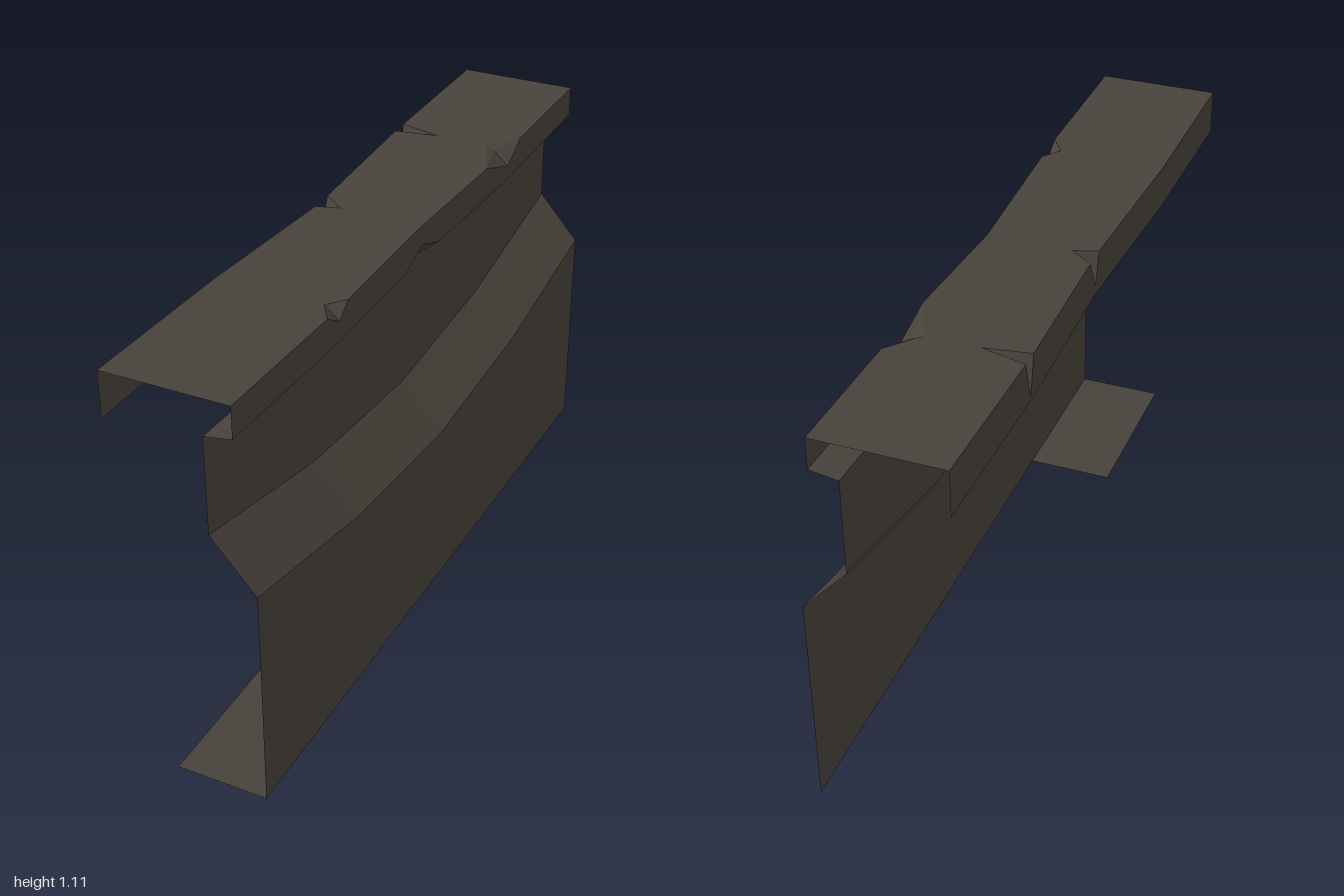
import * as THREE from 'three';

// Piecewise-linear lookup over [z, value] pairs
function lerpTable(table, z) {
  for (let i = 1; i < table.length; i++) {
    const [z0, v0] = table[i - 1], [z1, v1] = table[i];
    if (z <= z1) return v0 + (v1 - v0) * (z - z0) / (z1 - z0);
  }
  return table[table.length - 1][1];
}

// Value that is symmetric front to back, given at the ends, quarters and middle
const sag = (end, quarter, middle) => (z) =>
  lerpTable([[0, middle], [0.5, quarter], [1, end]], Math.abs(z));

const topY = sag(1.11, 1.10, 1.09);
const leftX = sag(-0.193, -0.193, -0.173);
const rightX = sag(0.145, 0.145, 0.125);
const skirtY = sag(0.985, 0.98, 0.973);
const lipOuterY = sag(1.025, 1.01, 1.0);
const lipInnerY = sag(1.013, 0.992, 0.985);
const bendTopY = sag(0.75, 0.65, 0.61);
const bendLowY = sag(0.615, 0.52, 0.48);

// Dents crush a corner between z[0] and z[2]: tip on one panel, mid crease, end on the side panel
const dents = [
  { edge: 'left', z: [-0.55, -0.52, -0.50], tip: -0.07, mid: [-0.13, 1.06], sideY: 0.99 },
  { edge: 'left', z: [-0.05, 0, 0.02], tip: -0.11, mid: [-0.143, 1.045], sideY: 1.0 },
  { edge: 'right', z: [-0.61, -0.52, -0.38], tip: 0.075, mid: [0.102, 1.088], sideY: 1.05 },
  { edge: 'right', z: [0.45, 0.5, 0.56], tip: 0.105, mid: [0.125, 1.083], sideY: 1.065 },
  { edge: 'lip', z: [-0.1, 0, 0.1], tip: 0.092, mid: [0.109, 1.014], sideY: 1.035 },
];
const stations = [...new Set([-1, -0.5, 0, 0.5, 1, ...dents.flatMap((d) => d.z)])].sort((a, b) => a - b);

// Corner of the section as side point, crease and panel tip (all equal where undented)
function corner(edge, x, y, z, tipY) {
  const d = dents.find((k) => k.edge === edge && z === k.z[1]);
  // partly crushed where another station falls inside a dent
  const p = dents.find((k) => k.edge === edge && z > k.z[0] && z < k.z[2]);
  if (!d && !p) return [[x, y], [x, y], [x, y]];
  const k = d || p;
  const t = lerpTable([[k.z[0], 0], [k.z[1], 1], [k.z[2], 0]], z);
  const mix = (to) => [x + (to[0] - x) * t, y + (to[1] - y) * t];
  return [mix([x, k.sideY]), mix(k.mid), mix([k.tip, tipY])];
}

function railSection(z) {
  const y = topY(z);
  return [
    [leftX(z), skirtY(z)],
    ...corner('left', leftX(z), y, z, y),
    ...corner('right', rightX(z), y, z, y).reverse(),
    ...corner('lip', rightX(z), lipOuterY(z), z, 0.991),
    [0.07, lipInnerY(z)],
  ];
}

const wallSection = (z) => [
  [0.07, lipInnerY(z)], [0.07, bendTopY(z)], [0.19, bendLowY(z)], [0.19, 0],
];

const flangeSection = () => [[0.19, 0], [-0.06, 0]];

// Flat-faced sheet through sections placed along z, skipping empty triangles
function loftSheet(section, zs) {
  const rows = zs.map((z) => section(z).map(([x, y]) => new THREE.Vector3(x, y, z)));
  const pos = [];
  const tri = (a, b, c) => {
    if (new THREE.Triangle(a, b, c).getArea() < 1e-7) return;
    for (const v of [a, b, c]) pos.push(v.x, v.y, v.z);
  };
  for (let j = 0; j < rows.length - 1; j++) {
    for (let i = 0; i < rows[j].length - 1; i++) {
      const a = rows[j][i], b = rows[j + 1][i], c = rows[j][i + 1], d = rows[j + 1][i + 1];
      tri(a, b, c);
      tri(b, d, c);
    }
  }
  const g = new THREE.BufferGeometry();
  g.setAttribute('position', new THREE.Float32BufferAttribute(pos, 3));
  g.computeVertexNormals();
  return g;
}

export function createModel() {
  const group = new THREE.Group();
  group.name = 'dentedBarrier';
  const metal = new THREE.MeshStandardMaterial({ color: 0x48423b, side: THREE.DoubleSide, flatShading: true });
  metal.name = 'darkMetal';

  const add = (name, section, zs) => {
    const mesh = new THREE.Mesh(loftSheet(section, zs), metal);
    mesh.name = name;
    group.add(mesh);
  };

  // Bent cap with crushed corners and a folded lip
  add('topRail', railSection, stations);
  // Sheet wall with a sagging bend
  add('wallPanel', wallSection, [-1, -0.5, 0, 0.5, 1]);
  // Short foot plate at the front end
  add('footFlange', flangeSection, [0.5, 1]);
  return group;
}
